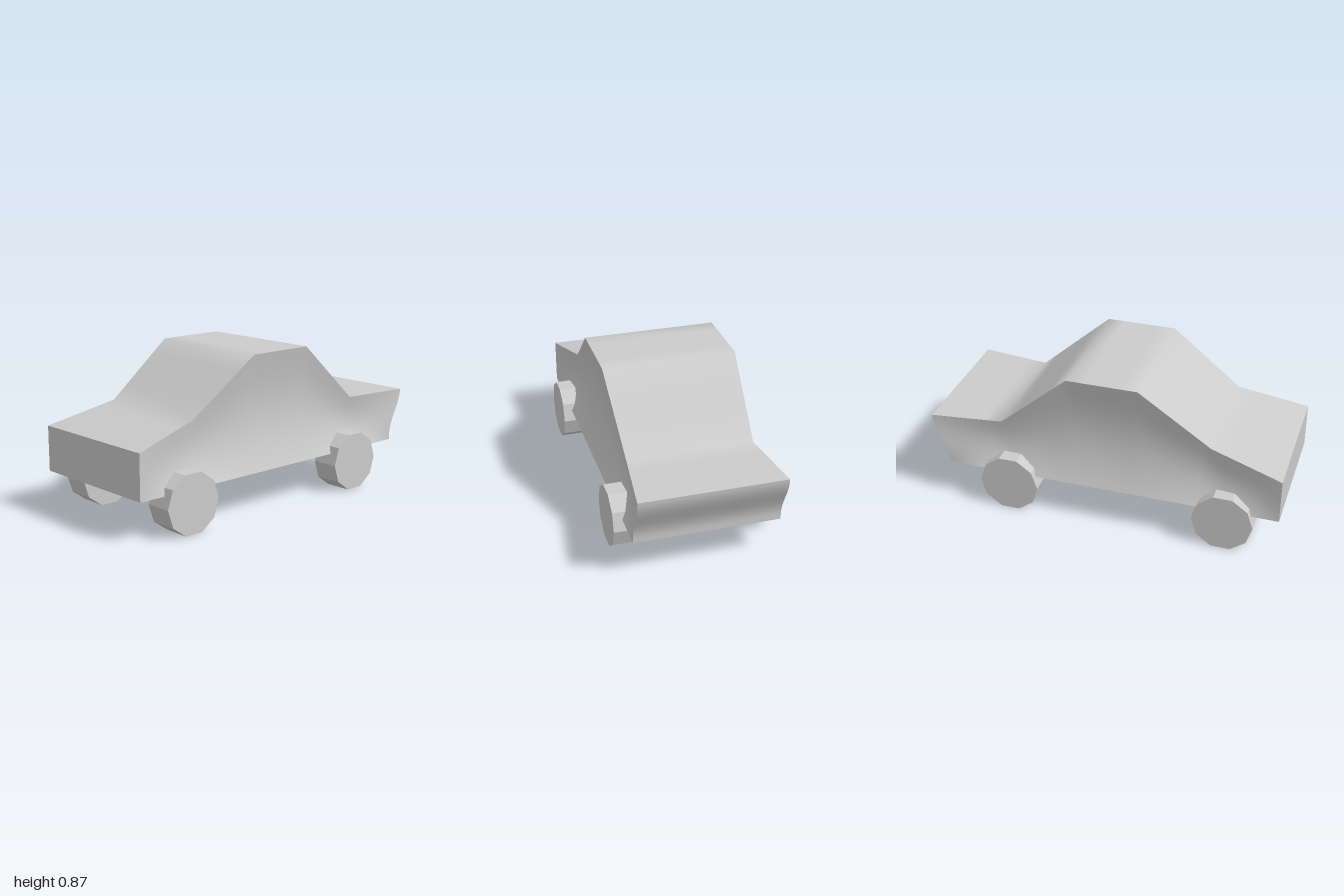
import * as THREE from 'three';

const FLOOR = 0.222, MID_Z = -0.01;
// Roof line stations: x, height, half width
const STATIONS = [
  [-1, 0.475, 0.4], [-0.6, 0.57, 0.34], [-0.2, 0.868, 0.375],
  [0.2, 0.868, 0.375], [0.6, 0.52, 0.35], [1, 0.52, 0.4],
];

function roofAt(x) {
  let i = 0;
  while (i < STATIONS.length - 2 && x > STATIONS[i + 1][0]) i++;
  const a = STATIONS[i], b = STATIONS[i + 1];
  const k = (x - a[0]) / (b[0] - a[0]);
  return [1, 2].map((c) => THREE.MathUtils.lerp(a[c], b[c], k));
}

// Body skin: t runs along the length, v from floor to roof line, s across the width
function skin(t, v, s) {
  const [top, topHalf] = roofAt(t);
  const y = THREE.MathUtils.lerp(FLOOR, top, v);
  // concave flank, fading out towards both ends
  const hollow = 0.06 * (1 - t * t) * Math.sin(Math.PI * Math.pow(v, 0.9));
  const half = THREE.MathUtils.lerp(0.4, topHalf, v) - hollow;
  // S-curved tail
  const tail = Math.max(0, (t - 0.6) / 0.4);
  const x = t - 0.09 * tail * (1 - THREE.MathUtils.smoothstep(v, 0.1, 1));
  return [x, y, MID_Z + s * half];
}

// Smooth grid surface from a function of a, b in 0..1
function patch(name, material, na, nb, fn) {
  const positions = [], index = [];
  for (let j = 0; j <= nb; j++) {
    for (let i = 0; i <= na; i++) {
      positions.push(...fn(i / na, j / nb));
      if (i < na && j < nb) {
        const p = j * (na + 1) + i, q = p + na + 1;
        index.push(p, p + 1, q + 1, p, q + 1, q);
      }
    }
  }
  const geometry = new THREE.BufferGeometry();
  geometry.setAttribute('position', new THREE.Float32BufferAttribute(positions, 3));
  geometry.setIndex(index);
  geometry.computeVertexNormals();
  const mesh = new THREE.Mesh(geometry, material);
  mesh.name = name;
  return mesh;
}

export function createModel() {
  const model = new THREE.Group();
  model.name = 'car';
  const paint = new THREE.MeshStandardMaterial({ color: 0xcccccc });
  const faceted = new THREE.MeshStandardMaterial({ color: 0xcccccc, flatShading: true });

  // Body panels
  const body = new THREE.Group();
  body.name = 'body';
  const along = (a) => 2 * a - 1;
  body.add(
    patch('frontFlank', paint, 40, 16, (a, b) => skin(along(a), b, 1)),
    patch('backFlank', paint, 40, 16, (a, b) => skin(-along(a), b, -1)),
    patch('roofAndHood', paint, 20, 1, (a, b) => skin(along(a), 1, 1 - 2 * b)),
    patch('floor', paint, 1, 1, (a, b) => skin(along(a), 0, 2 * b - 1)),
    patch('tailPanel', paint, 1, 16, (a, b) => skin(1, b, 1 - 2 * a)),
    patch('nosePanel', paint, 1, 1, (a, b) => skin(-1, b, 2 * a - 1)),
  );
  model.add(body);

  // Ten-sided wheels, resting on a flat
  const wheelGeometry = new THREE.CylinderGeometry(0.171, 0.171, 0.157, 10, 1, false, Math.PI / 10);
  wheelGeometry.rotateX(Math.PI / 2);
  for (const [x, end] of [[-0.695, 'nose'], [0.54, 'tail']]) {
    for (const side of [1, -1]) {
      const wheel = new THREE.Mesh(wheelGeometry, faceted);
      wheel.name = end + (side > 0 ? 'FrontWheel' : 'BackWheel');
      wheel.position.set(x, 0.171 * Math.cos(Math.PI / 10), side * 0.363);
      model.add(wheel);
    }
  }
  return model;
}
